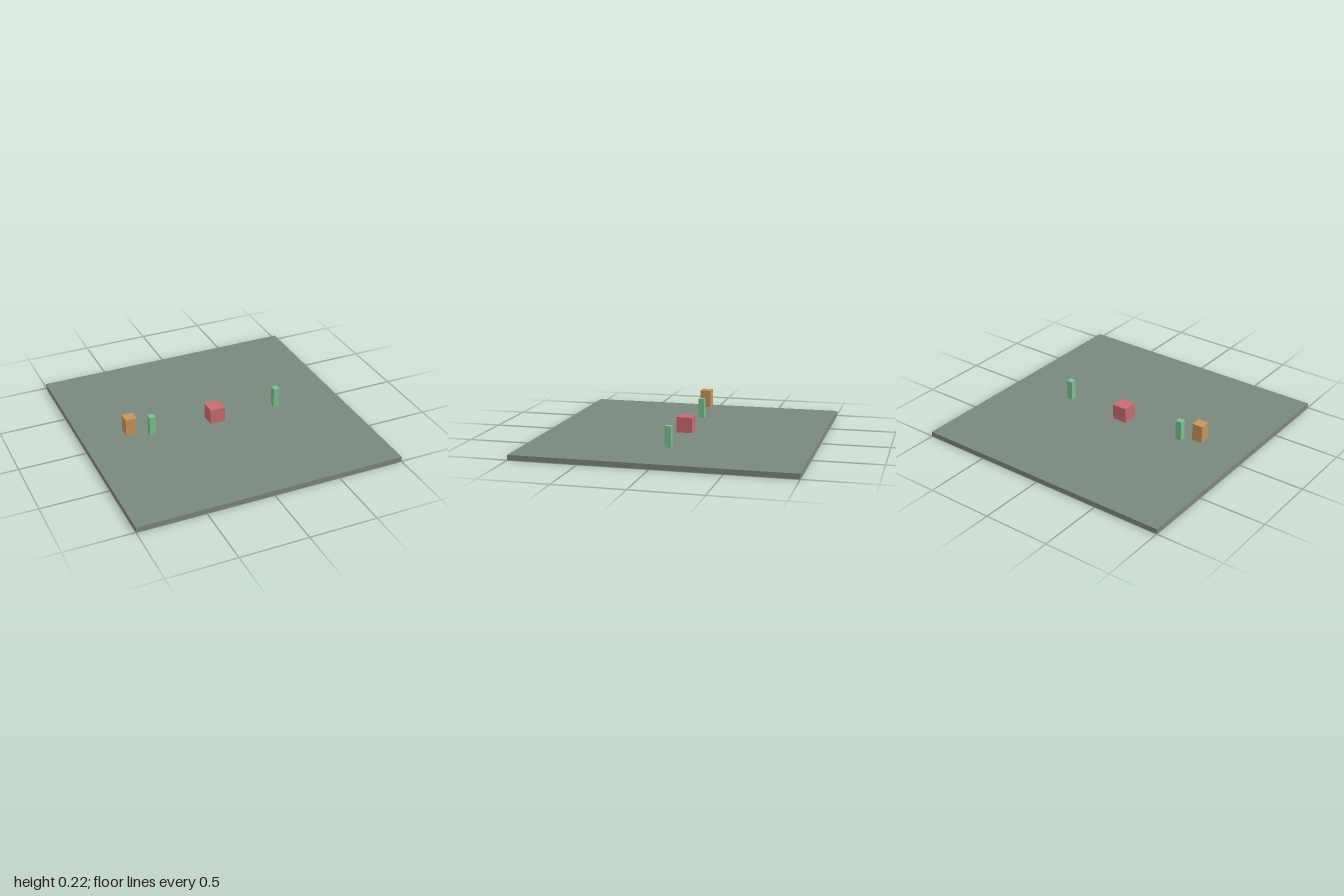
import * as THREE from 'three';

export function createModel() {
  const model = new THREE.Group();
  const material = (name, color) => {
    const m = new THREE.MeshStandardMaterial({ color });
    m.name = name;
    return m;
  };
  const groundGrey = material('grey green', 0x7a887c);
  const red = material('soft red', 0xc76c70);
  const green = material('soft green', 0x7cc092);
  const tan = material('tan', 0xc6965f);

  // Box given by its size, centre x and bottom height
  const box = (name, mat, width, height, depth, x, bottom) => {
    const mesh = new THREE.Mesh(new THREE.BoxGeometry(width, height, depth), mat);
    mesh.name = name;
    mesh.position.set(x, bottom + height / 2, 0);
    model.add(mesh);
  };

  const top = 0.037;
  box('ground', groundGrey, 2, top, 2, 0, 0);
  box('centreBlock', red, 0.115, 0.115, 0.115, 0, top);

  // Matching posts either side of the centre
  for (const side of [-1, 1]) {
    box(side > 0 ? 'leftPost' : 'rightPost', green, 0.046, 0.15, 0.046, side * 0.5, top);
  }

  // Block hovering beyond the right post
  box('floatingBlock', tan, 0.081, 0.13, 0.081, -0.67, 0.095);

  return model;
}
